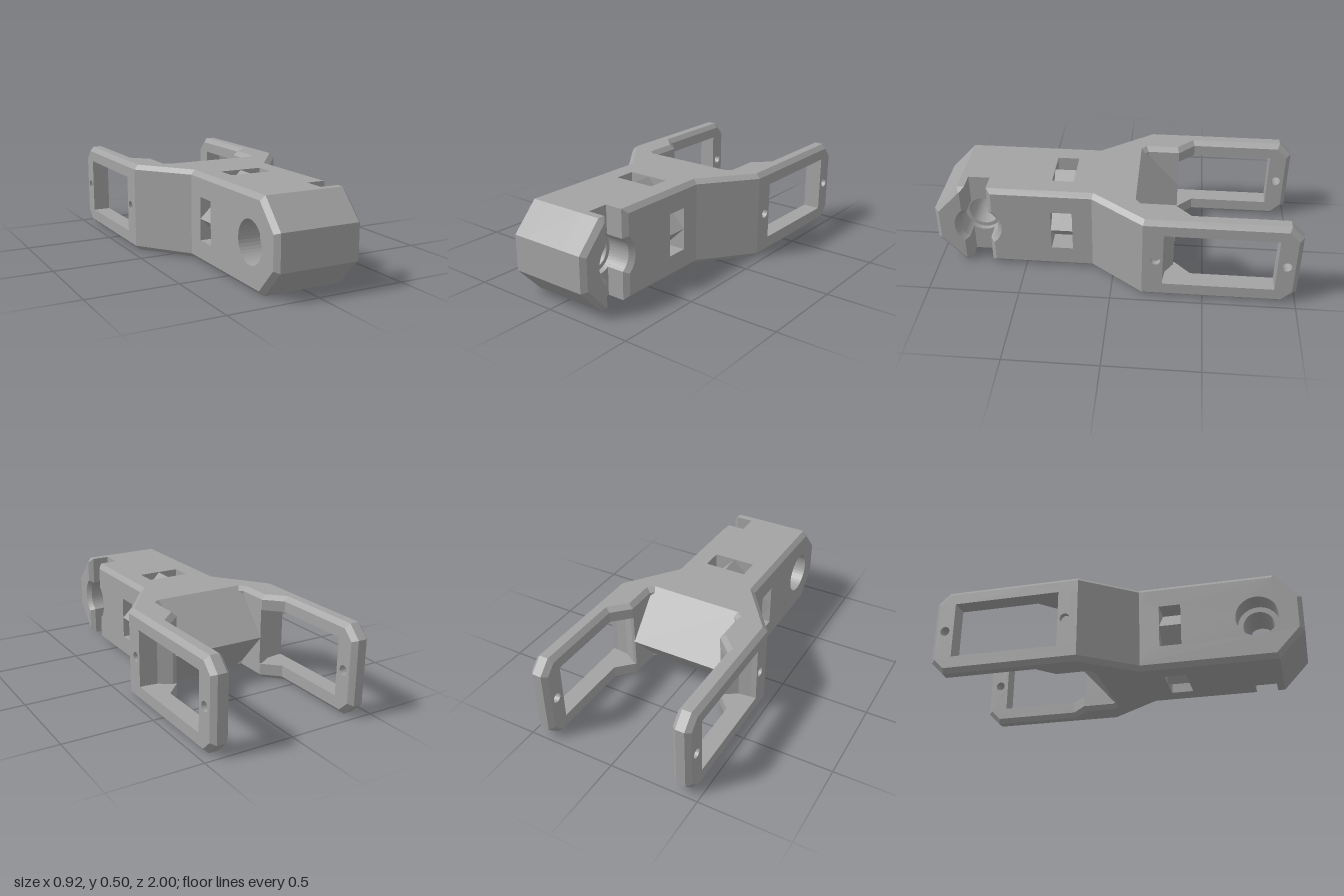
import * as THREE from 'three';

const gray = new THREE.MeshStandardMaterial({ color: 0xa3a3a3 });
const H = 0.495, MID = H / 2, C = 0.025;

// Shrinks a counter-clockwise outline by c with mitred corners
function inset(pts, c) {
  return pts.map((p, i) => {
    const a = pts[(i + pts.length - 1) % pts.length], b = pts[(i + 1) % pts.length];
    const d1 = p.clone().sub(a).normalize(), d2 = b.clone().sub(p).normalize();
    const n1 = new THREE.Vector2(-d1.y, d1.x), n2 = new THREE.Vector2(-d2.y, d2.x);
    return p.clone().addScaledVector(n1.clone().add(n2), c / (1 + n1.dot(n2)));
  });
}

function wound(points, ccw) {
  const v = points.map(p => new THREE.Vector2(p[0], p[1]));
  return (THREE.ShapeUtils.area(v) > 0) === ccw ? v : v.reverse();
}

// Solid slab: outline is [z, y] along x or [x, z] along y.
// Its outer edges are chamfered by c0 and c1 at the two ends; holes stay sharp.
function slab(name, axis, outline, w0, w1, c0 = 0, c1 = 0, holes = []) {
  const base = wound(outline, true), cuts = holes.map(h => wound(h, false));
  const pos = [];
  const put = (p, w) => (axis === 'x' ? pos.push(w, p.y, p.x) : pos.push(p.x, w, p.y));
  const tri = (a, wa, b, wb, c, wc) => { put(a, wa); put(c, wc); put(b, wb); };
  const wall = (A, wa, B, wb) => A.forEach((p, i) => {
    const j = (i + 1) % A.length;
    tri(p, wa, A[j], wa, B[j], wb);
    tri(p, wa, B[j], wb, B[i], wb);
  });
  const low = inset(base, c0), high = inset(base, c1);
  if (c0) wall(low, w0, base, w0 + c0);
  wall(base, w0 + c0, base, w1 - c1);
  if (c1) wall(base, w1 - c1, high, w1);
  cuts.forEach(h => wall(h, w0, h, w1));
  [[low, w0, true], [high, w1, false]].forEach(([ring, w, flip]) => {
    const all = [...ring, ...cuts.flat()];
    THREE.ShapeUtils.triangulateShape(ring.slice(), cuts.map(h => h.slice())).forEach(([a, b, c]) => {
      if (flip) tri(all[a], w, all[c], w, all[b], w);
      else tri(all[a], w, all[b], w, all[c], w);
    });
  });
  const g = new THREE.BufferGeometry();
  g.setAttribute('position', new THREE.Float32BufferAttribute(pos, 3));
  g.computeVertexNormals();
  const m = new THREE.Mesh(g, gray);
  m.name = name;
  return m;
}

// Points on an arc, angles in degrees
function arc(z, y, r, from, to, n) {
  return Array.from({ length: n + 1 }, (_, i) => {
    const t = THREE.MathUtils.degToRad(from + (to - from) * i / n);
    return [z + r * Math.cos(t), y + r * Math.sin(t)];
  });
}
const circle = (z, y, r, n = 40) => arc(z, y, r, 0, 360 - 360 / n, n - 1);
const rect = (z0, z1, y0, y1) => [[z0, y0], [z1, y0], [z1, y1], [z0, y1]];
const mirrorX = half => [...half, ...half.map(([x, z]) => [-x, z]).reverse()];

export function createModel() {
  const model = new THREE.Group();
  model.name = 'forkBracket';
  const W = 0.245, D = 0.12, HZ = 0.76;

  // Handle, built as layers across x: left side, middle, right side with slot
  const nose = [[0.86, 0], [1, 0.15], [1, 0.345], [0.86, H]];
  const pocket = rect(0.23, 0.35, MID - D, MID + D);
  model.add(slab('handleLeftSide', 'x', [[0, 0], ...nose, [0, H]], -W, -D, C, 0,
    [circle(HZ, MID, 0.115), pocket]));
  const notched = [[0, 0], [0.23, 0], [0.23, D], [0.35, D], [0.35, 0], ...nose,
    [0.35, H], [0.35, H - D], [0.23, H - D], [0.23, H], [0, H]];
  [[-D, 0.09, 0.085], [0.09, D, 0.108]].forEach(([x0, x1, r]) =>
    model.add(slab('handleCore', 'x', notched, x0, x1, 0, 0, [circle(HZ, MID, r)])));
  model.add(slab('noseRightSide', 'x',
    [[0.82, 0], ...nose, [0.82, H], ...arc(HZ, MID, 0.108, 56, -56, 14)], D, W, 0, C));
  model.add(slab('handleRightSide', 'x',
    [[0, 0], [0.7, 0], ...arc(HZ, MID, 0.108, 236, 124, 14), [0.7, H], [0, H]],
    D, W, 0, C, [pocket]));

  // Ridges inside the four strap pockets
  const ridgeShape = new THREE.Shape([[-D, D], [D, D], [0, W]].map(p => new THREE.Vector2(...p)));
  const ridgeGeo = new THREE.ExtrudeGeometry(ridgeShape, { depth: 0.12, bevelEnabled: false });
  for (let i = 0; i < 4; i++) {
    const ridge = new THREE.Mesh(ridgeGeo, gray);
    ridge.name = 'strapRidge';
    ridge.position.set(0, MID, 0.23);
    ridge.rotation.z = i * Math.PI / 2;
    model.add(ridge);
  }

  // Flared shoulder: chamfered plates above and below a recessed middle
  const flare = [[W, 0.2], [W, 0.12], [0.46, -0.17]];
  const crotch = [[0.27, -0.16], [0.22, -0.12]];
  const plate = mirrorX([...flare, [0.46, -0.5], [0.36, -0.5], [0.36, -0.43], [0.27, -0.34], ...crotch]);
  const web = mirrorX([...flare, [0.46, -0.21], [0.43, -0.21], [0.43, -0.28], [0.36, -0.29],
    [0.29, -0.335], [0.27, -0.335], ...crotch]);
  model.add(slab('shoulderBottom', 'y', plate, 0, 0.09, C, 0));
  model.add(slab('shoulderMiddle', 'y', web, 0.09, 0.41));
  model.add(slab('shoulderTop', 'y', plate, 0.41, H, 0, C));

  // Wedge between the arms
  model.add(slab('rearWedge', 'x', [[0, 0], [-0.12, 0], [-0.34, MID], [-0.12, H], [0, H]], -0.275, 0.275));

  // Windowed arms with pin holes
  const arm = [[-0.18, 0], [-0.93, 0], [-1, 0.07], [-1, H - 0.07], [-0.93, H], [-0.18, H]];
  const armHoles = [rect(-0.88, -0.28, 0.09, 0.41), circle(-0.93, MID, 0.027, 20), circle(-0.24, MID, 0.027, 20)];
  model.add(slab('leftArm', 'x', arm, 0.36, 0.46, C, C, armHoles));
  model.add(slab('rightArm', 'x', arm, -0.46, -0.36, C, C, armHoles));

  return model;
}
